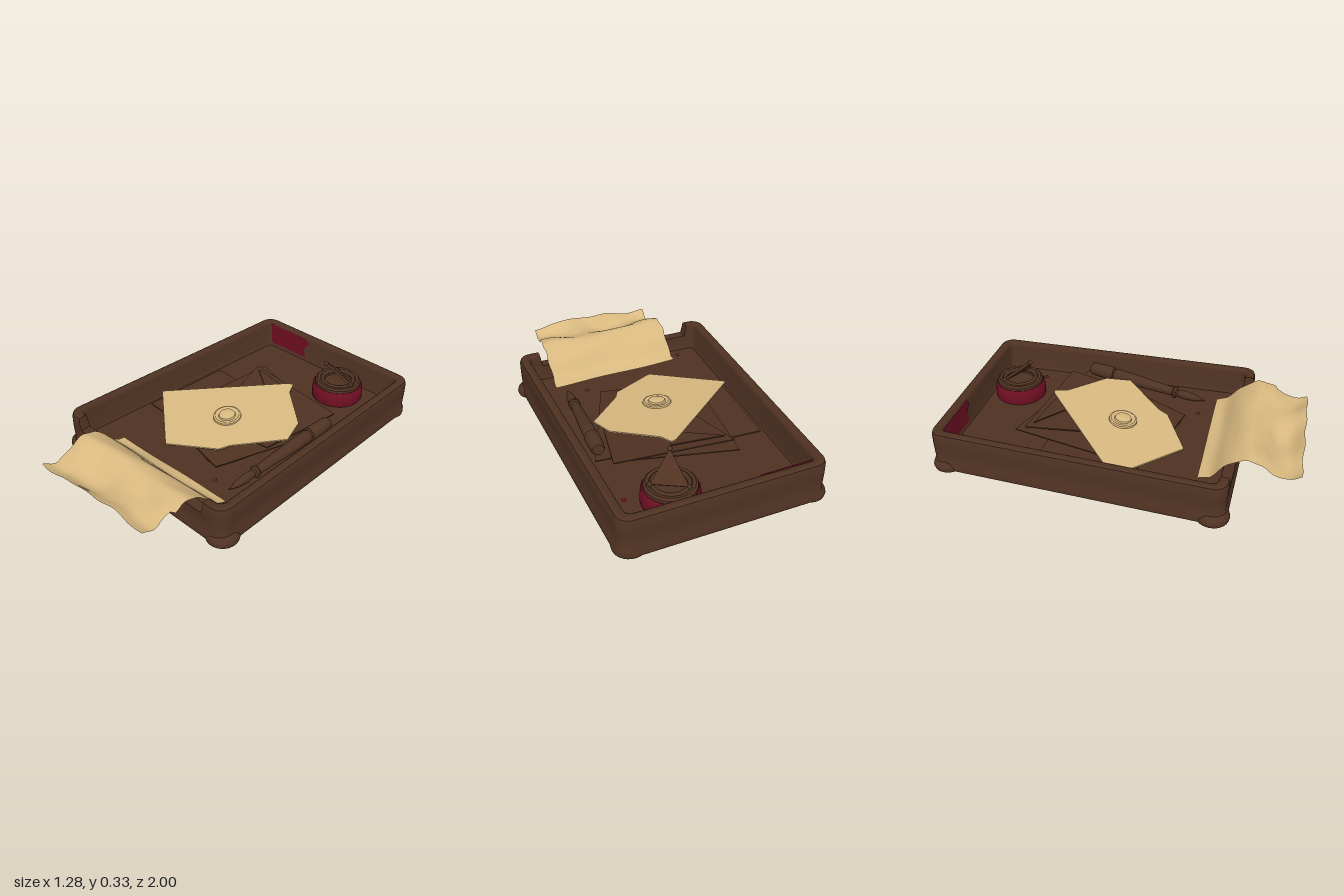
import * as THREE from 'three';
import { toCreasedNormals } from 'three/addons/utils/BufferGeometryUtils.js';
import { ConvexGeometry } from 'three/addons/geometries/ConvexGeometry.js';

const mat = (name, color) => {
  const m = new THREE.MeshStandardMaterial({ color, side: THREE.DoubleSide });
  m.name = name;
  return m;
};

export function createModel() {
  const wood = mat('dark brown', 0x4f3222);
  const tan = mat('parchment tan', 0xd9b980);
  const red = mat('deep red', 0x700f24);
  const model = new THREE.Group();
  const add = (name, geo, material, x = 0, y = 0, z = 0) => {
    const m = new THREE.Mesh(geo, material);
    m.name = name;
    m.position.set(x, y, z);
    model.add(m);
    return m;
  };
  const lathe = (pts, seg = 40) => toCreasedNormals(
    new THREE.LatheGeometry(pts.map(p => new THREE.Vector2(...p)), seg), 0.6);

  // Tray: rounded, tapered rings swept over the wall, with the front rim cut down
  const FLOOR = 0.075, NOTCH = 0.165;
  const ring = (inset, y) => {
    const r = Math.max(0.03, 0.07 - inset * 0.6), pts = [];
    const corner = (cx, cz, a0) => {
      for (let k = 0; k <= 6; k++) {
        const a = a0 + k * Math.PI / 12;
        pts.push([cx + Math.cos(a) * r, cz - Math.sin(a) * r]);
      }
    };
    const d = inset + r;
    corner(0.59 - d, -0.985 + d, 0);
    corner(-0.535 + d, -0.985 + d, Math.PI / 2);
    corner(-0.61 + d, 0.655 - d, Math.PI);
    for (const x of [-0.5, -0.488, 0, 0.47, 0.482]) pts.push([x, 0.655 - inset]);
    corner(0.61 - d, 0.655 - d, Math.PI * 1.5);
    return pts.map(([x, z]) => {
      const cut = z > 0.55 && x > -0.49 && x < 0.475;
      return [x, cut ? Math.min(y, NOTCH) : y, z];
    });
  };
  const profile = [[0.02, 0.005], [-0.004, 0.015], [-0.006, 0.045], [0.003, 0.06], [0, 0.15], [0, 0.215],
    [0.006, 0.234], [0.018, 0.24], [0.044, 0.24], [0.054, 0.232], [0.058, 0.215], [0.06, 0.1], [0.07, FLOOR]];
  const rings = profile.map(p => ring(...p)), n = rings[0].length;
  const verts = rings.flat(2), index = [];
  for (let j = 0; j < rings.length - 1; j++) {
    for (let i = 0; i < n; i++) {
      const a = j * n + i, b = j * n + (i + 1) % n;
      index.push(a, b, b + n, a, b + n, a + n);
    }
  }
  const last = (rings.length - 1) * n, mid = rings.length * n;
  verts.push(0, 0.005, 0, 0, FLOOR, 0);
  for (let i = 0; i < n; i++) {
    const k = (i + 1) % n;
    index.push(mid, k, i, mid + 1, last + i, last + k);
  }
  const trayGeo = new THREE.BufferGeometry();
  trayGeo.setAttribute('position', new THREE.Float32BufferAttribute(verts, 3));
  trayGeo.setIndex(index);
  add('tray', toCreasedNormals(trayGeo, 0.7), wood);

  // Bulbous corner feet
  const foot = [[0, 0], [0.07, 0], [0.086, 0.01], [0.09, 0.025], [0.085, 0.042], [0.07, 0.055], [0.04, 0.068], [0, 0.07]];
  for (const [x, z] of [[-0.55, 0.585], [0.55, 0.585], [-0.473, -0.905], [0.513, -0.905]]) {
    add('foot', lathe(foot, 28), wood, x, 0, z);
  }

  // Red stain on the inside of the back wall
  const stain = new THREE.Shape([[-0.47, 0.08], [-0.16, 0.08], [-0.18, 0.15], [-0.14, 0.2], [-0.17, 0.232], [-0.47, 0.232]]
    .map(p => new THREE.Vector2(...p)));
  add('wallStain', new THREE.ShapeGeometry(stain), red, 0, 0, -0.922);

  // Flat papers: an outline in x,z laid on a slope
  const sheet = (name, pts, slope, material, depth = 0.007) => {
    const s = new THREE.Shape(pts.map(([x, z]) => new THREE.Vector2(x, -z)));
    const g = new THREE.ExtrudeGeometry(s, { depth, bevelEnabled: false });
    g.rotateX(-Math.PI / 2);
    const p = g.attributes.position;
    for (let i = 0; i < p.count; i++) p.setY(i, p.getY(i) + slope(p.getX(i), p.getZ(i)));
    g.computeVertexNormals();
    add(name, g, material);
  };
  sheet('flatPaper', [[-0.47, -0.43], [0.05, -0.4], [0.02, 0.16], [-0.5, 0.13]], () => 0.076, wood);
  sheet('lowerPaper', [[-0.24, -0.6], [0.36, -0.43], [0.14, 0.28], [-0.34, 0.12]], (x, z) => 0.096 - 0.06 * z, wood);
  sheet('middlePaper', [[-0.05, -0.45], [0.49, -0.39], [0.21, 0.29], [-0.2, 0.2]], (x, z) => 0.104 - 0.07 * z, wood);
  sheet('upperPaper', [[-0.24, -0.54], [0.42, -0.47], [0.32, 0], [-0.1, 0.05]], (x, z) => 0.115 - 0.08 * z, wood);
  sheet('foldedFlap', [[-0.2, -0.5], [0.1, -0.46], [0.03, -0.34]], (x, z) => 0.125 - 0.09 * z, wood);

  // Envelope with a round seal
  const tilt = (x, z) => 0.138 - 0.13 * z + 0.02 * x;
  sheet('envelope', [[-0.5, 0.04], [0.07, -0.47], [0.1, -0.48], [0.13, -0.41], [0.35, -0.23], [0.39, -0.09],
    [0.17, 0.14], [0.14, 0.2], [-0.13, 0.35]], tilt, tan, 0.008);
  const seal = add('seal', lathe([[0.082, 0], [0.08, 0.012], [0.07, 0.016], [0.06, 0.011], [0.05, 0.011],
    [0.046, 0.02], [0.03, 0.026], [0, 0.028]], 32), tan, -0.015, tilt(-0.015, -0.03) + 0.006, -0.03);
  seal.rotation.x = -0.13 * -1;

  // Crumpled parchment draped over the front notch
  const drape = new THREE.CatmullRomCurve3([[0.455, 0.086], [0.52, 0.11], [0.59, 0.185], [0.65, 0.232], [0.71, 0.25],
    [0.78, 0.225], [0.85, 0.19], [0.92, 0.183], [0.99, 0.22]].map(([z, y]) => new THREE.Vector3(0, y, z)));
  const parchment = new THREE.PlaneGeometry(1, 1, 48, 48);
  const pp = parchment.attributes.position, uv = parchment.attributes.uv;
  for (let i = 0; i < pp.count; i++) {
    const u = uv.getX(i), t = 1 - uv.getY(i), c = drape.getPoint(t);
    const ramp = THREE.MathUtils.smoothstep(t, 0.35, 0.8);
    const right = t > 0.68 ? 0.41 : 0.435;
    const x = THREE.MathUtils.lerp(-0.355, right, u) + 0.004 * Math.sin(t * 31);
    const wave = 0.014 * Math.sin(9 * x + 7 * t) + 0.008 * Math.sin(19 * x - 9 * t) + 0.025 * x;
    const z = c.z + (0.5 - u) * 0.022 + 0.004 * Math.sin(u * 23) * ramp;
    pp.setXYZ(i, x, c.y + wave * ramp + 0.003 * Math.sin(11 * x + 20 * t) * (1 - ramp), z);
  }
  parchment.computeVertexNormals();
  add('drapedParchment', parchment, tan);

  // Inkwell: red body, dark rolled rim and well
  const ix = 0.23, iz = -0.75;
  add('inkwellBody', lathe([[0.15, FLOOR], [0.153, 0.085], [0.15, 0.15], [0.14, 0.165], [0.128, 0.168]]), red, ix, 0, iz);
  add('inkwellTop', lathe([[0.138, 0.164], [0.136, 0.18], [0.125, 0.19], [0.108, 0.188], [0.1, 0.178], [0.085, 0.176],
    [0.082, 0.165], [0, 0.165]]), wood, ix, 0, iz);
  const rim = add('inkwellRing', new THREE.TorusGeometry(0.094, 0.012, 8, 40), wood, ix, 0.184, iz);
  rim.rotation.x = Math.PI / 2;

  // Leaning triangular stopper with rounded corners
  const tri = [[0.165, 0.19, -0.825], [0.335, 0.195, -0.735], [0.195, 0.318, -0.662]].map(p => new THREE.Vector3(...p));
  const normal = new THREE.Triangle(...tri).getNormal(new THREE.Vector3()).multiplyScalar(0.008);
  add('stopper', new ConvexGeometry(tri.flatMap(p => [p.clone().add(normal), p.clone().sub(normal)])), wood);
  for (const p of tri) add('stopperKnob', new THREE.SphereGeometry(0.014, 12, 8), wood, p.x, p.y, p.z);

  // Pen resting on the papers, nib forward
  const penEnd = new THREE.Vector3(0.458, 0.178, -0.36), penTip = new THREE.Vector3(0.39, 0.09, 0.38);
  const dir = penTip.clone().sub(penEnd);
  const pen = add('pen', lathe([[0, 0], [0.03, 0.003], [0.038, 0.02], [0.043, 0.12], [0.043, 0.15], [0.03, 0.155],
    [0.038, 0.17], [0.037, 0.27], [0.026, 0.54], [0.034, 0.55], [0.034, 0.565], [0.022, 0.575],
    [0.026, 0.63], [0.018, 0.69], [0, dir.length()]], 20), wood, penEnd.x, penEnd.y, penEnd.z);
  pen.quaternion.setFromUnitVectors(new THREE.Vector3(0, 1, 0), dir.normalize());

  // Spilled droplets
  for (const [x, z, m] of [[0.44, -0.66, red], [0.27, 0.36, wood], [-0.41, 0.53, wood]]) {
    add('droplet', new THREE.SphereGeometry(0.012, 12, 8), m, x, FLOOR, z).scale.y = 0.6;
  }
  return model;
}
